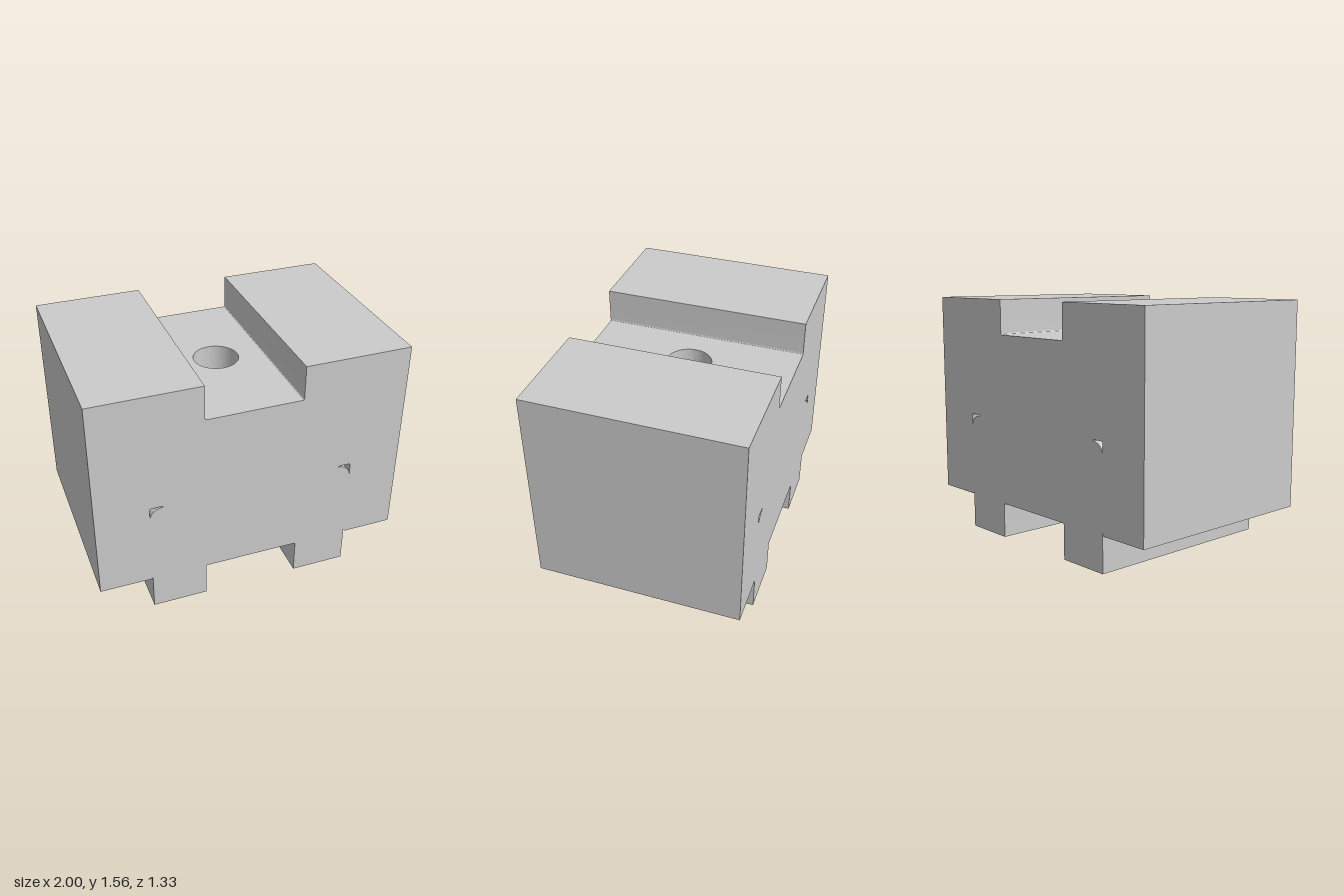
import * as THREE from 'three';
import { toCreasedNormals } from 'three/addons/utils/BufferGeometryUtils.js';

const DEPTH = 1.333;
const GROOVE = 0.31, FLOOR = 0.228, SHELF = 1.335, TOP = 1.56; // cross-section levels
const FOOT = 0.663, R = 0.014;                                 // foot side, fillet size

const material = new THREE.MeshStandardMaterial({ color: 0xcccccc });

function extrude(name, shape, depth, curveSegments) {
  const geo = new THREE.ExtrudeGeometry(shape, { depth, bevelEnabled: false, curveSegments });
  const mesh = new THREE.Mesh(toCreasedNormals(geo, 0.5), material);
  mesh.name = name;
  return mesh;
}

// One half of the block, s = 1 for left (+x), -1 for right
function sideProfile(s) {
  const inner = GROOVE - R;
  const shape = new THREE.Shape();
  shape.moveTo(s * inner, FLOOR);
  shape.quadraticCurveTo(s * GROOVE, FLOOR, s * GROOVE, FLOOR - R);
  shape.lineTo(s * GROOVE, 0);
  shape.lineTo(s * FOOT, 0);
  // relief nick where the foot meets the underside
  shape.lineTo(s * FOOT, FLOOR + 0.018);
  shape.quadraticCurveTo(s * (FOOT + 0.002), FLOOR, s * (FOOT + 0.016), FLOOR);
  shape.lineTo(s, FLOOR);
  shape.lineTo(s, TOP);
  shape.lineTo(s * GROOVE, TOP);
  shape.lineTo(s * GROOVE, SHELF + R);
  shape.quadraticCurveTo(s * GROOVE, SHELF, s * inner, SHELF);
  shape.closePath();

  // crescent-shaped corner slot running front to back
  const slot = new THREE.Path();
  slot.moveTo(s * 0.58, 0.785);
  slot.lineTo(s * (FOOT - R), 0.785);
  slot.quadraticCurveTo(s * FOOT, 0.785, s * FOOT, 0.785 - R);
  slot.lineTo(s * FOOT, 0.7);
  slot.bezierCurveTo(s * FOOT, 0.742, s * 0.628, 0.777, s * 0.58, 0.777);
  slot.closePath();
  shape.holes.push(slot);
  return shape;
}

export function createModel() {
  const group = new THREE.Group();
  group.name = 'slottedBlock';

  for (const s of [1, -1]) {
    const side = extrude(s > 0 ? 'leftJaw' : 'rightJaw', sideProfile(s), DEPTH, 10);
    side.position.z = -DEPTH / 2;
    group.add(side);
  }

  // Web between the jaws, with the vertical bore
  const w = GROOVE - R, d = DEPTH / 2;
  const web = new THREE.Shape([
    new THREE.Vector2(-w, -d), new THREE.Vector2(w, -d),
    new THREE.Vector2(w, d), new THREE.Vector2(-w, d),
  ]);
  web.holes.push(new THREE.Path().absarc(0, 0, 0.145, 0, Math.PI * 2, true));
  const centre = extrude('boredWeb', web, SHELF - FLOOR, 48);
  centre.rotation.x = -Math.PI / 2;
  centre.position.y = FLOOR;
  group.add(centre);

  return group;
}
